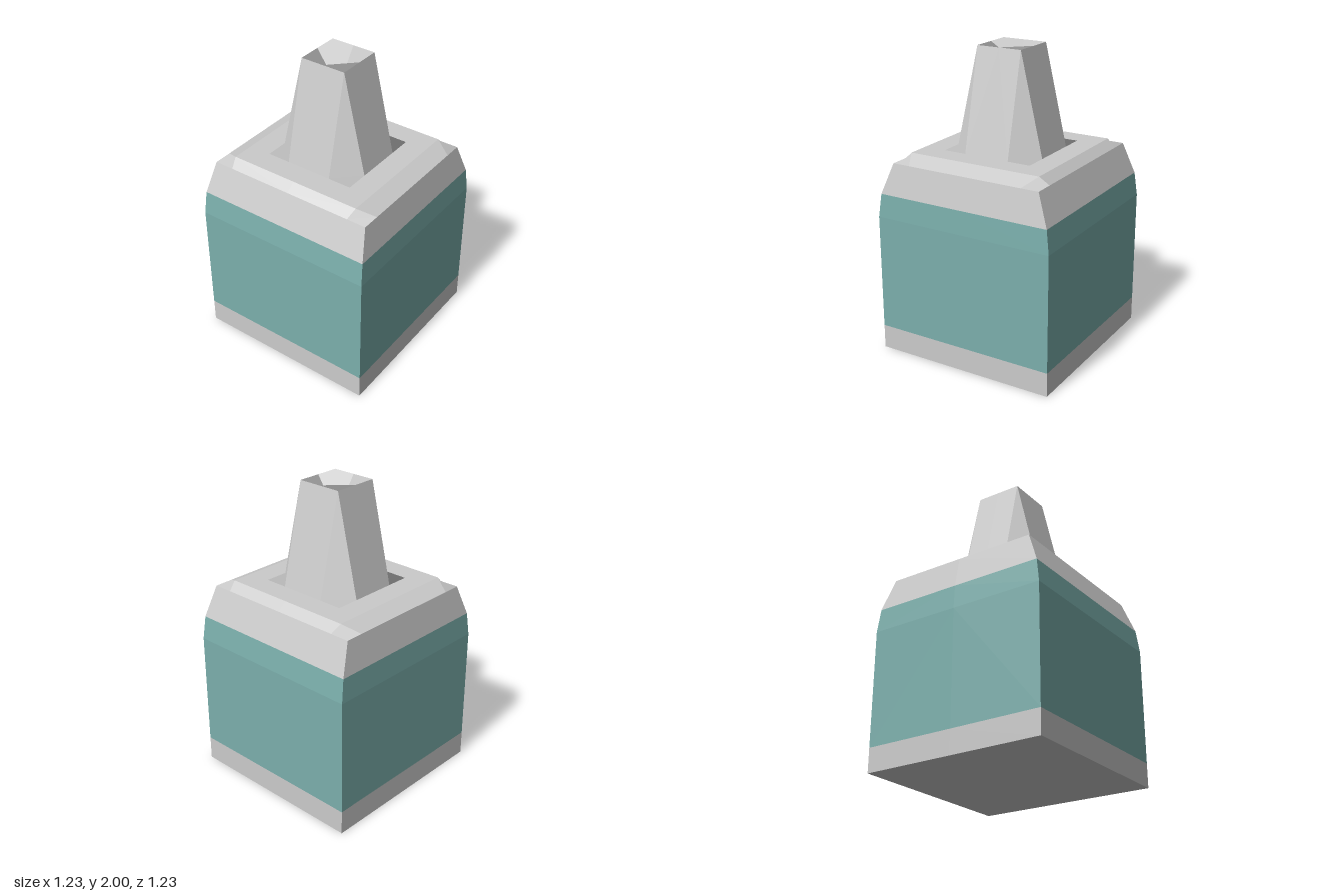
import * as THREE from 'three';

// Flat-shaded four-sided faces, given for the +x +z quarter and mirrored to all four.
// Each face is split along its second and fourth corners and keeps a single normal.
function quarterMesh(name, color, faces) {
  const positions = [], normals = [];
  for (const sx of [1, -1]) for (const sz of [1, -1]) {
    for (const face of faces) {
      let q = face.map(([x, y, z]) => new THREE.Vector3(x * sx, y, z * sz));
      if (sx * sz < 0) q = [q[0], q[3], q[2], q[1]];
      const n = q[2].clone().sub(q[0]).cross(q[3].clone().sub(q[1])).normalize();
      for (const i of [0, 1, 3, 1, 2, 3]) {
        positions.push(...q[i].toArray());
        normals.push(...n.toArray());
      }
    }
  }
  const geometry = new THREE.BufferGeometry();
  geometry.setAttribute('position', new THREE.Float32BufferAttribute(positions, 3));
  geometry.setAttribute('normal', new THREE.Float32BufferAttribute(normals, 3));
  const mesh = new THREE.Mesh(geometry, new THREE.MeshStandardMaterial({ color }));
  mesh.name = name;
  return mesh;
}

// Front and side faces between two rectangular levels [halfX, y, halfZ]
function band([x0, y0, z0], [x1, y1, z1]) {
  return [
    [[0, y0, z0], [x0, y0, z0], [x1, y1, z1], [0, y1, z1]],
    [[x0, y0, z0], [x0, y0, 0], [x1, y1, 0], [x1, y1, z1]],
  ];
}

export function createModel() {
  const group = new THREE.Group();
  const grey = 0xcccccc, teal = 0x7bafac;

  // Levels of the bottle body
  const w = 0.617;
  const base = [w, 0, w], labelLow = [w, 0.16, w], bend = [w, 0.93, w];
  const labelTop = [0.597, 1.085, 0.608], shoulder = [0.52, 1.29, 0.57];
  const deck = 1.34, rim = 0.46, foot = 0.31, tip = 0.155;

  // Base with its underside
  group.add(quarterMesh('base', grey, [
    [[0, 0, 0], [w, 0, 0], [w, 0, w], [0, 0, w]],
    ...band(base, labelLow),
  ]));

  // Coloured band around the body
  group.add(quarterMesh('label', teal, [...band(labelLow, bend), ...band(bend, labelTop)]));

  // Shoulder, bevelled edge with cut corners, and the flat deck
  const [sx, sy, sz] = shoulder;
  const inner = [rim, deck, rim], cutFront = [0.4, sy, sz], cutSide = [sx, sy, 0.44];
  group.add(quarterMesh('shoulder', grey, [
    ...band(labelTop, shoulder),
    [[0, sy, sz], cutFront, inner, [0, deck, rim]],
    [cutSide, [sx, sy, 0], [rim, deck, 0], inner],
    [inner, cutFront, shoulder, cutSide],
    ...band(inner, [foot, deck, foot]),
  ]));

  // Tapered spout with chamfered corners and a hollow tip
  const top = 2, hollow = 1.77;
  group.add(quarterMesh('spout', grey, [
    [[0, deck, foot], [tip, deck, foot], [tip, top, tip], [0, top, tip]],
    [[foot, deck, tip], [foot, deck, 0], [tip, top, 0], [tip, top, tip]],
    [[tip, top, tip], [tip, deck, foot], [foot, deck, foot], [foot, deck, tip]],
    [[0, hollow, 0], [0, top, tip], [tip, top, tip], [tip, top, 0]],
  ]));

  return group;
}
